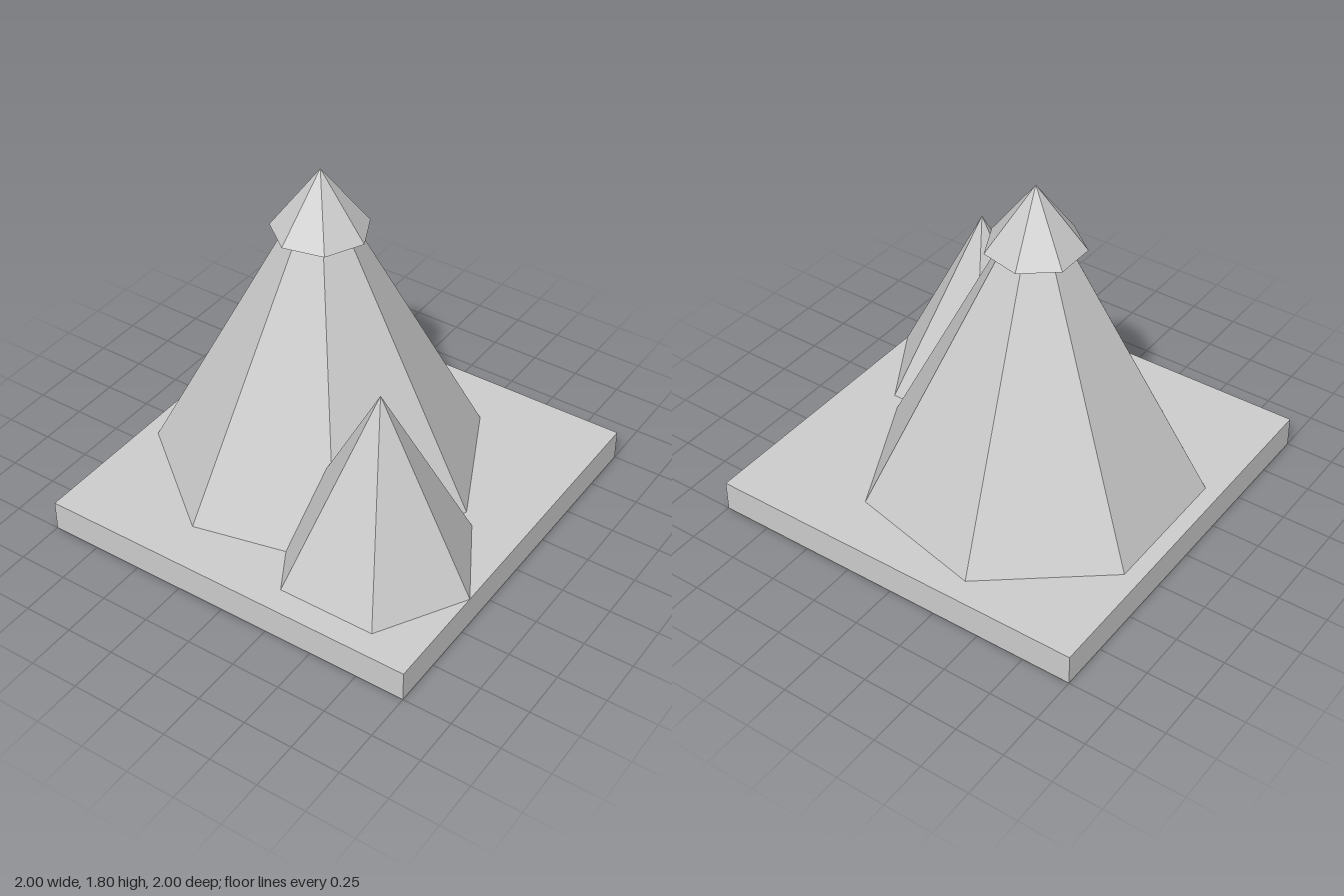
import * as THREE from 'three';

const material = new THREE.MeshStandardMaterial({ color: 0xcccccc, flatShading: true });

export function createModel() {
  const model = new THREE.Group();

  function add(name, geometry, x, y, z) {
    const mesh = new THREE.Mesh(geometry, material);
    mesh.name = name;
    mesh.position.set(x, y, z);
    model.add(mesh);
  }

  // Faceted cone with one corner pointing to +x, standing on height "bottom"
  function addPeak(name, radius, bottom, top, sides, x, z) {
    const height = top - bottom;
    const geometry = new THREE.ConeGeometry(radius, height, sides, 1, false, Math.PI / 2);
    add(name, geometry, x, bottom + height / 2, z);
  }

  // Square ground slab
  add('base', new THREE.BoxGeometry(2, 0.16, 2), 0, 0.08, 0);

  // Tall peak with its overhanging snow cap, and the smaller peak beside it
  addPeak('mainPeak', 0.84, 0.16, 1.79, 7, -0.16, -0.06);
  addPeak('snowCap', 0.24, 1.48, 1.8, 7, -0.16, -0.06);
  addPeak('smallPeak', 0.5, 0.16, 1.12, 6, 0.5, 0.44);

  return model;
}
